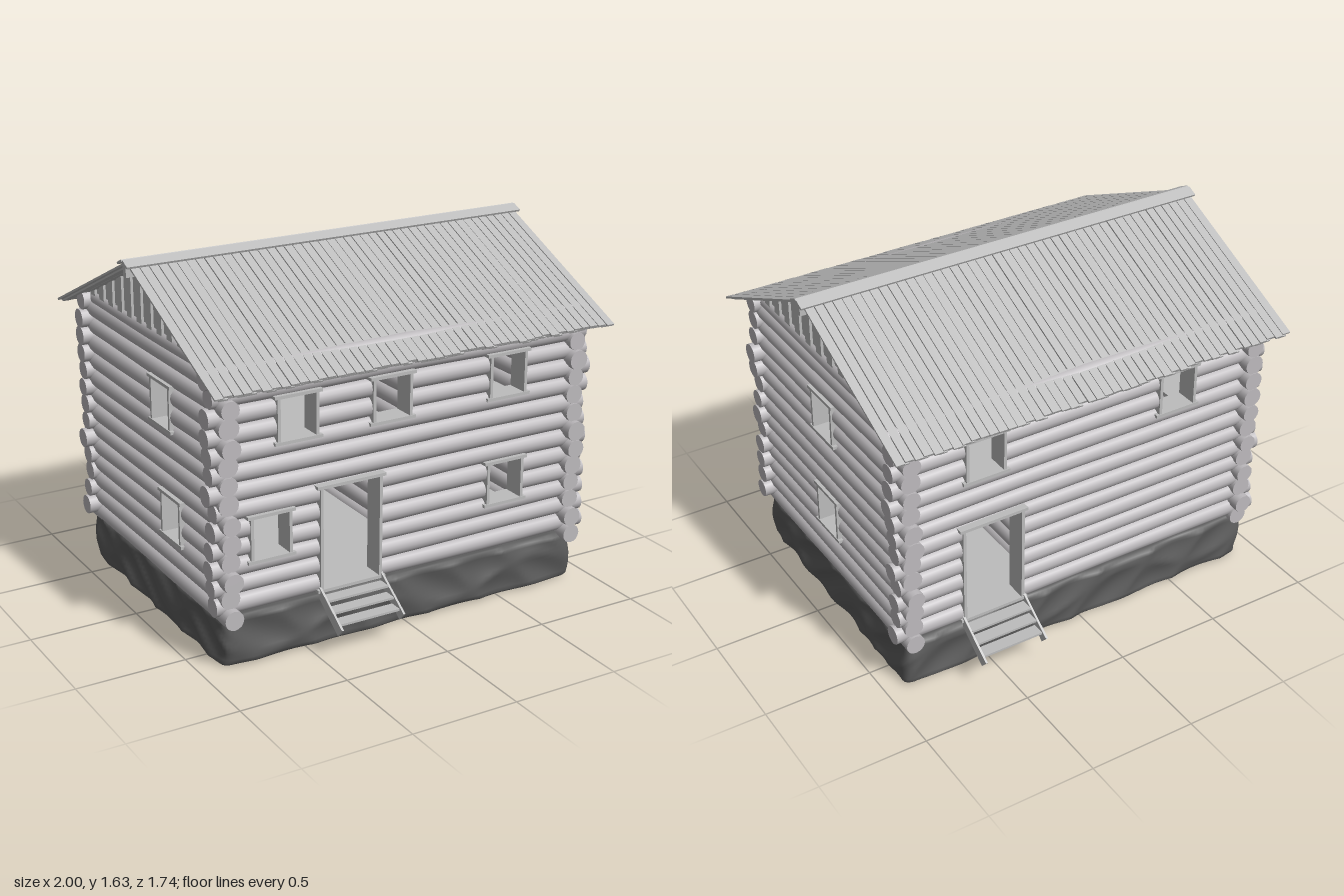
import * as THREE from 'three';
import { mergeVertices } from 'three/addons/utils/BufferGeometryUtils.js';

const timber = new THREE.MeshStandardMaterial({ color: 0xbdbabd });
timber.name = 'weathered timber';
const plankMat = new THREE.MeshStandardMaterial({ color: 0xbcbcbc });
plankMat.name = 'grey planks';
const stone = new THREE.MeshStandardMaterial({ color: 0x5c5c5c });
stone.name = 'dark stone';

let seed = 7;
const rand = (a, b) => {
  seed = (seed * 16807) % 2147483647;
  return a + (b - a) * (seed / 2147483647);
};

const STEP = 0.0835, R = 0.0435;
const SLOPE = 0.455, PITCH = Math.atan(SLOPE), RIDGE = 1.612;

function add(parent, name, geo, mat, x = 0, y = 0, z = 0) {
  const m = new THREE.Mesh(geo, mat);
  m.name = name;
  m.position.set(x, y, z);
  parent.add(m);
  return m;
}
const box = (parent, name, w, h, d, x, y, z, mat = plankMat) =>
  add(parent, name, new THREE.BoxGeometry(w, h, d), mat, x, y, z);

function group(parent, name) {
  const g = new THREE.Group();
  g.name = name;
  parent.add(g);
  return g;
}

// One piece of log along x, optionally planed flat above or below an opening
function logPiece(parent, x0, x1, y, r, maxY = Infinity, minY = -Infinity) {
  const geo = new THREE.CylinderGeometry(r, r, x1 - x0, 16, 6).rotateZ(Math.PI / 2);
  const p = geo.attributes.position, phase = y * 40;
  for (let i = 0; i < p.count; i++) {
    const x = p.getX(i) + (x0 + x1) / 2;
    const k = 1 + 0.035 * Math.sin(x * 5 + phase);
    const yy = p.getY(i) * k + 0.002 * Math.sin(x * 4 + phase * 2);
    p.setY(i, Math.min(maxY - y, Math.max(minY - y, yy)));
    p.setZ(i, p.getZ(i) * k);
  }
  add(parent, 'log', geo, timber, (x0 + x1) / 2, y, 0);
}

// A course of logs interrupted by the openings [centre, width, bottom, top]
function logCourse(parent, half, y, openings) {
  const r = R * rand(0.97, 1.04);
  const end = half + rand(-0.018, 0.018), start = -half - rand(-0.018, 0.018);
  let x = start;
  const hits = openings.filter(([, , b, t]) => y + r > b && y - r < t).sort((a, c) => a[0] - c[0]);
  for (const [c, w, b, t] of hits) {
    logPiece(parent, x, c - w / 2, y, r);
    if (y - r < b - 0.004) logPiece(parent, c - w / 2, c + w / 2, y, r, b);
    else if (y + r > t + 0.004) logPiece(parent, c - w / 2, c + w / 2, y, r, Infinity, t);
    x = c + w / 2;
  }
  logPiece(parent, x, end, y, r);
}

// Boards lining a window or door opening
function openingFrame(parent, [c, w, b, t]) {
  const f = group(parent, t - b > 0.3 ? 'doorFrame' : 'windowFrame');
  const T = 0.014;
  for (const s of [-1, 1]) box(f, 'jamb', T, t - b, 0.1, c + s * (w - T) / 2, (t + b) / 2, 0);
  box(f, 'lintel', w + 0.03, T, 0.108, c, t, 0);
  box(f, 'sill', w + 0.03, T, 0.108, c, b, 0);
}

function logWall(parent, name, half, y0, openings) {
  const g = group(parent, name);
  for (let k = 0; k < 13; k++) logCourse(g, half, y0 + k * STEP, openings);
  openings.forEach(o => openingFrame(g, o));
  return g;
}

// Rough rounded stone base with a flat underside
function foundation(parent) {
  const W = 0.91, D = 0.675, H = 0.24, r = 0.05;
  let geo = new THREE.BoxGeometry(2 * W, H, 2 * D, 90, 14, 66);
  geo.deleteAttribute('uv');
  geo.deleteAttribute('normal');
  geo = mergeVertices(geo);
  const p = geo.attributes.position, v = new THREE.Vector3(), q = new THREE.Vector3();
  for (let i = 0; i < p.count; i++) {
    v.fromBufferAttribute(p, i);
    q.set(THREE.MathUtils.clamp(v.x, r - W, W - r), THREE.MathUtils.clamp(v.y, 0.02 - H / 2, H / 2 - 0.02),
      THREE.MathUtils.clamp(v.z, r - D, D - r));
    const d = v.clone().sub(q);
    if (d.lengthSq() > 0) {
      const n = d.clone().divide(new THREE.Vector3(r, 0.02, r)).normalize();
      d.set(n.x * r, n.y * 0.02, n.z * r);
      const bump = Math.abs(Math.sin(v.x * 11 + v.y * 9 + Math.sin(v.z * 9)) * Math.cos(v.z * 12 + v.y * 17 + Math.sin(v.x * 7)));
      d.x *= 1.1 - 0.4 * bump;
      d.z *= 1.1 - 0.4 * bump;
      if (d.y > 0) d.y *= 1 - 0.4 * bump;
    }
    q.add(d);
    p.setXYZ(i, q.x, q.y + H / 2, q.z);
  }
  geo.computeVertexNormals();
  add(parent, 'stoneFoundation', geo, stone);
}

// One slope of the roof: two layers of ragged boards on rafters
function roofSide(parent, name, turn) {
  const side = group(parent, name);
  side.rotation.y = turn;
  const g = group(side, 'slope');
  g.position.y = RIDGE;
  g.rotation.x = PITCH;
  const n = 46, pitch = 1.965 / n;
  for (let i = 0; i < n; i++) {
    const x = -0.9825 + (i + 0.5) * pitch;
    const L = 0.868 + rand(-0.008, 0.008);
    box(g, 'roofBoard', pitch * rand(0.86, 0.96), 0.009, L, x, 0.005, L / 2);
    if (i < n - 1) box(g, 'underBoard', pitch * 0.94, 0.008, L - 0.004, x + pitch / 2, -0.004, L / 2);
  }
  for (let i = 0; i < 11; i++) box(g, 'rafter', 0.034, 0.036, 0.83, -0.85 + i * 0.17, -0.026, 0.415);
  box(g, 'ridgeBoard', 2, 0.01, 0.052, 0, 0.016, 0.022);
}

// Vertical boards closing a gable
function gable(parent, s) {
  const g = group(parent, 'gableBoards');
  g.rotation.y = Math.PI / 2;
  const w = 0.05, top = z => Math.max(1.305, RIDGE - 0.012 - SLOPE * Math.abs(z));
  for (let i = -12; i < 12; i++) {
    const a = i * w, b = a + w;
    const shape = new THREE.Shape([[a, 1.3], [b, 1.3], [b, top(b)], [a, top(a)]].map(q => new THREE.Vector2(...q)));
    const geo = new THREE.ExtrudeGeometry(shape, { depth: 0.014, bevelEnabled: false });
    add(g, 'gableBoard', geo, plankMat, 0, 0, s * 0.88 - 0.007 + (i % 2 ? s * 0.012 : 0));
  }
}

// Short open steps below a door
function doorSteps(parent, x, turn) {
  const g = group(parent, 'doorSteps');
  g.rotation.y = turn;
  const cx = turn ? -x : x;
  for (const s of [-1, 1]) {
    const shape = new THREE.Shape([[0.68, 0.225], [0.836, 0.117], [0.87, 0.155], [0.68, 0.28]].map(q => new THREE.Vector2(...q)));
    const geo = new THREE.ExtrudeGeometry(shape, { depth: 0.01, bevelEnabled: false }).rotateY(-Math.PI / 2);
    add(g, 'stepStringer', geo, plankMat, cx + s * 0.153 + 0.005);
  }
  for (let i = 0; i < 3; i++) box(g, 'tread', 0.3, 0.01, 0.06, cx, 0.235 - i * 0.036, 0.715 + i * 0.046);
}

// Floors, dividing wall and staircase inside
function interior(parent) {
  const g = group(parent, 'interior');
  box(g, 'groundFloor', 1.7, 0.02, 1.24, 0, 0.25, 0);
  box(g, 'upperFloor', 1.7, 0.02, 0.9, 0, 0.81, 0.15);
  box(g, 'upperFloorRight', 0.2, 0.02, 0.3, -0.75, 0.81, -0.45);
  box(g, 'upperFloorLeft', 0.87, 0.02, 0.3, 0.415, 0.81, -0.45);
  const wall = group(g, 'dividingWall');
  wall.rotation.y = Math.PI / 2;
  wall.position.x = 0.17;
  for (let k = 0; k < 13; k++) logPiece(wall, -0.6, 0.6, 0.243 + k * STEP, R);
  const slope = Math.atan(0.83), len = Math.hypot(0.66, 0.55);
  for (const z of [-0.58, -0.33])
    box(g, 'stairStringer', len, 0.05, 0.016, -0.38, 0.54, z).rotation.z = slope;
  for (let i = 0; i < 9; i++) box(g, 'stairTread', 0.08, 0.012, 0.24, -0.66 + i * 0.07, 0.308 + i * 0.058, -0.455);
}

export function createModel() {
  const model = new THREE.Group();
  model.name = 'logHouse';
  foundation(model);

  // Openings as [centre, width, bottom, top]
  const up = [0.97, 1.17], low = [0.47, 0.67], door = [0.26, 0.735];
  logWall(model, 'frontWall', 0.94, 0.285, [
    [-0.545, 0.195, ...up], [-0.09, 0.195, ...up], [0.505, 0.195, ...up],
    [-0.675, 0.195, ...low], [0.505, 0.195, ...low], [-0.29, 0.305, ...door],
  ]).position.z = 0.635;
  logWall(model, 'backWall', 0.94, 0.285, [
    [-0.47, 0.195, ...up], [0.505, 0.195, ...up], [0.47, 0.305, ...door],
  ]).position.z = -0.635;

  // Gable walls, turned so their length runs front to back
  for (const s of [1, -1]) {
    const zs = s > 0 ? [0, 0] : [0.15, 0.22];
    const wall = logWall(model, s > 0 ? 'leftWall' : 'rightWall', 0.7, 0.243,
      [[-zs[0], 0.19, 0.93, 1.13], [-zs[1], 0.19, 0.43, 0.63]]);
    wall.rotation.y = Math.PI / 2;
    wall.position.x = s * 0.87;
    logPiece(wall, -0.59, 0.59, 1.302, 0.036);
    gable(model, s);
  }

  interior(model);
  doorSteps(model, -0.29, 0);
  doorSteps(model, 0.47, Math.PI);

  // Roof
  roofSide(model, 'frontRoof', 0);
  roofSide(model, 'backRoof', Math.PI);
  box(model, 'ridgeBeam', 1.98, 0.055, 0.03, 0, 1.583, 0);
  return model;
}
